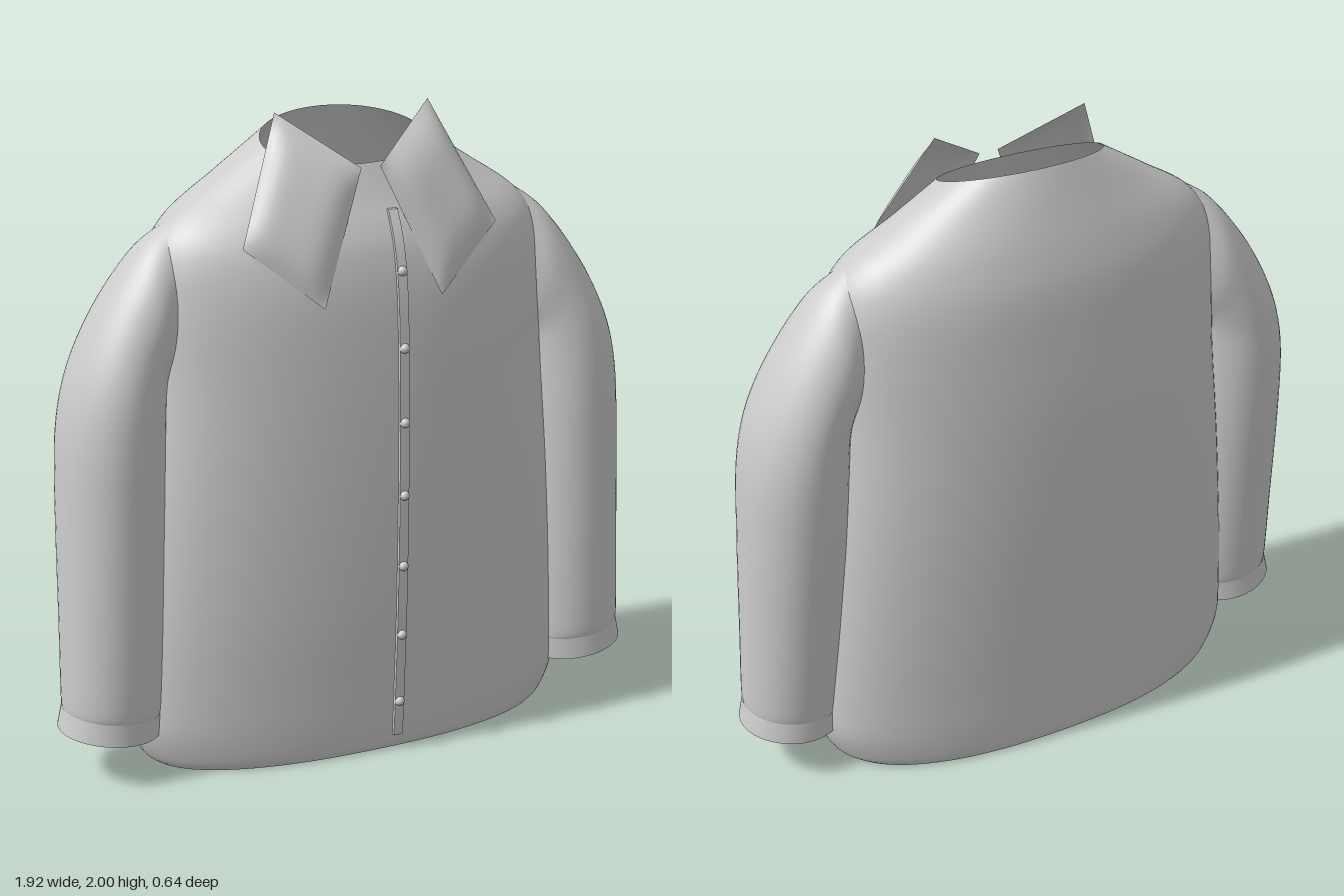
import * as THREE from 'three';

const material = new THREE.MeshStandardMaterial({ color: 0xcccccc, side: THREE.DoubleSide });

// Smooth interpolation through rows of section values, t in 0..1
function sampleRows(rows, t) {
  const n = rows.length - 1;
  const i = Math.min(Math.floor(t * n), n - 1);
  const f = t * n - i;
  const row = (k) => rows[THREE.MathUtils.clamp(k, 0, n)];
  return rows[0].map((_, c) => {
    const p0 = row(i - 1)[c], p1 = row(i)[c], p2 = row(i + 1)[c], p3 = row(i + 2)[c];
    const v0 = (p2 - p0) / 2, v1 = (p3 - p1) / 2;
    return p1 + v0 * f + (3 * (p2 - p1) - 2 * v0 - v1) * f * f + (2 * (p1 - p2) + v0 + v1) * f ** 3;
  });
}

// Open tube skinned over rings given by pointAt(t, angle); side -1 mirrors it in x
function loft(pointAt, rings, segments, side = 1) {
  const positions = [], index = [];
  for (let j = 0; j <= rings; j++) {
    for (let i = 0; i < segments; i++) {
      const [x, y, z] = pointAt(j / rings, (i / segments) * Math.PI * 2);
      positions.push(side * x, y, z);
      if (j === rings) continue;
      const a = j * segments + i, c = j * segments + ((i + 1) % segments);
      const b = a + segments, d = c + segments;
      if (side > 0) index.push(a, b, c, c, b, d);
      else index.push(a, c, b, c, d, b);
    }
  }
  const geometry = new THREE.BufferGeometry();
  geometry.setAttribute('position', new THREE.Float32BufferAttribute(positions, 3));
  geometry.setIndex(index);
  geometry.computeVertexNormals();
  return geometry;
}

// Torso sections: height, half width, front z, back z, forward tilt, roundness
const torsoRows = [
  [0, 0.66, 0.255, -0.285, 0, 2.3],
  [0.03, 0.69, 0.265, -0.293, 0, 2.3],
  [0.12, 0.725, 0.273, -0.298, 0, 2.3],
  [0.25, 0.725, 0.28, -0.302, 0, 2.3],
  [0.5, 0.71, 0.292, -0.311, 0, 2.3],
  [0.85, 0.68, 0.298, -0.319, 0, 2.3],
  [1.2, 0.645, 0.295, -0.315, 0, 2.3],
  [1.45, 0.635, 0.283, -0.3, 0, 2.3],
  [1.6, 0.62, 0.26, -0.285, 0.03, 2.2],
  [1.7, 0.56, 0.228, -0.258, 0.1, 2.1],
  [1.8, 0.415, 0.185, -0.218, 0.23, 2],
  [1.9, 0.26, 0.14, -0.178, 0.34, 2],
];

function torsoPoint(t, angle) {
  const [y, w, front, back, tilt, e] = sampleRows(torsoRows, t);
  const c = Math.cos(angle), s = Math.sin(angle);
  const x = Math.sign(c) * w * Math.abs(c) ** (2 / e);
  const z = (s > 0 ? front : back) * Math.abs(s) ** (2 / e);
  return [x, y - tilt * (z + 0.02), z];
}

// Depth of the shirt front at a given height
function frontZ(y) {
  let low = 0, high = 1;
  for (let k = 0; k < 30; k++) {
    const mid = (low + high) / 2;
    if (torsoPoint(mid, Math.PI / 2)[1] < y) low = mid;
    else high = mid;
  }
  return torsoPoint(low, Math.PI / 2)[2];
}

// Sleeve sections: outer x, outer y, inner x, inner y, front z, back z
const sleeveRows = [
  [0.943, 0.225, 0.642, 0.192, 0.185, -0.105],
  [0.945, 0.27, 0.636, 0.24, 0.195, -0.115],
  [0.938, 0.5, 0.62, 0.48, 0.2, -0.14],
  [0.928, 0.85, 0.603, 0.85, 0.202, -0.175],
  [0.913, 1.1, 0.595, 1.08, 0.202, -0.19],
  [0.87, 1.28, 0.59, 1.19, 0.193, -0.188],
  [0.78, 1.46, 0.585, 1.23, 0.175, -0.18],
  [0.66, 1.62, 0.575, 1.25, 0.155, -0.165],
  [0.57, 1.69, 0.55, 1.26, 0.12, -0.13],
];
const cuffRows = [
  [0.96, 0.165, 0.646, 0.125, 0.192, -0.113],
  [0.945, 0.232, 0.638, 0.198, 0.189, -0.109],
];

const sleevePoint = (rows) => (t, angle) => {
  const [ox, oy, ix, iy, front, back] = sampleRows(rows, t);
  const k = (1 + Math.cos(angle)) / 2;
  return [ix + (ox - ix) * k, iy + (oy - iy) * k,
    (front + back) / 2 + ((front - back) / 2) * Math.sin(angle)];
};

// Collar flap: a four-cornered patch, puffed outward between its edges
function collarFlap(side) {
  const [neck, top, outer, tip] = [
    [0.03, 1.845, 0.19], [0.245, 2, 0.055], [0.405, 1.645, 0.2], [0.187, 1.465, 0.288],
  ].map((p) => new THREE.Vector3(...p));
  const outward = new THREE.Vector3(0.35, 0.3, 0.89);
  const geometry = new THREE.PlaneGeometry(1, 1, 14, 14);
  const position = geometry.attributes.position;
  for (let i = 0; i < position.count; i++) {
    const u = 0.5 + side * position.getX(i), v = 0.5 - position.getY(i);
    const p = neck.clone().lerp(top, u).lerp(tip.clone().lerp(outer, u), v);
    const puff = (1 - (2 * u - 1) ** 4) * (1 - (2 * v - 1) ** 4);
    p.addScaledVector(outward, 0.04 * puff);
    position.setXYZ(i, side * p.x, p.y, p.z);
  }
  geometry.computeVertexNormals();
  return geometry;
}

// Button strip: a thin bar bent to follow the shirt front
function placketStrip() {
  const geometry = new THREE.BoxGeometry(0.03, 1.67, 0.024, 1, 40, 1);
  geometry.translate(0.06, 0.885, 0);
  const position = geometry.attributes.position;
  for (let i = 0; i < position.count; i++) {
    position.setZ(i, position.getZ(i) + frontZ(position.getY(i)));
  }
  geometry.computeVertexNormals();
  return geometry;
}

export function createModel() {
  const model = new THREE.Group();
  model.name = 'shirt';
  const add = (name, geometry) => {
    const mesh = new THREE.Mesh(geometry, material);
    mesh.name = name;
    model.add(mesh);
    return mesh;
  };

  add('torso', loft(torsoPoint, 66, 96));
  for (const [label, side] of [['left', 1], ['right', -1]]) {
    add(label + 'Sleeve', loft(sleevePoint(sleeveRows), 48, 48, side));
    add(label + 'Cuff', loft(sleevePoint(cuffRows), 2, 48, side));
    add(label + 'Collar', collarFlap(side));
  }

  // Front fastening
  add('placket', placketStrip());
  const buttonGeometry = new THREE.SphereGeometry(0.015, 16, 10);
  for (let i = 0; i < 7; i++) {
    const y = 0.17 + i * 0.23;
    add('button', buttonGeometry).position.set(0.06, y, frontZ(y) + 0.012);
  }
  return model;
}
